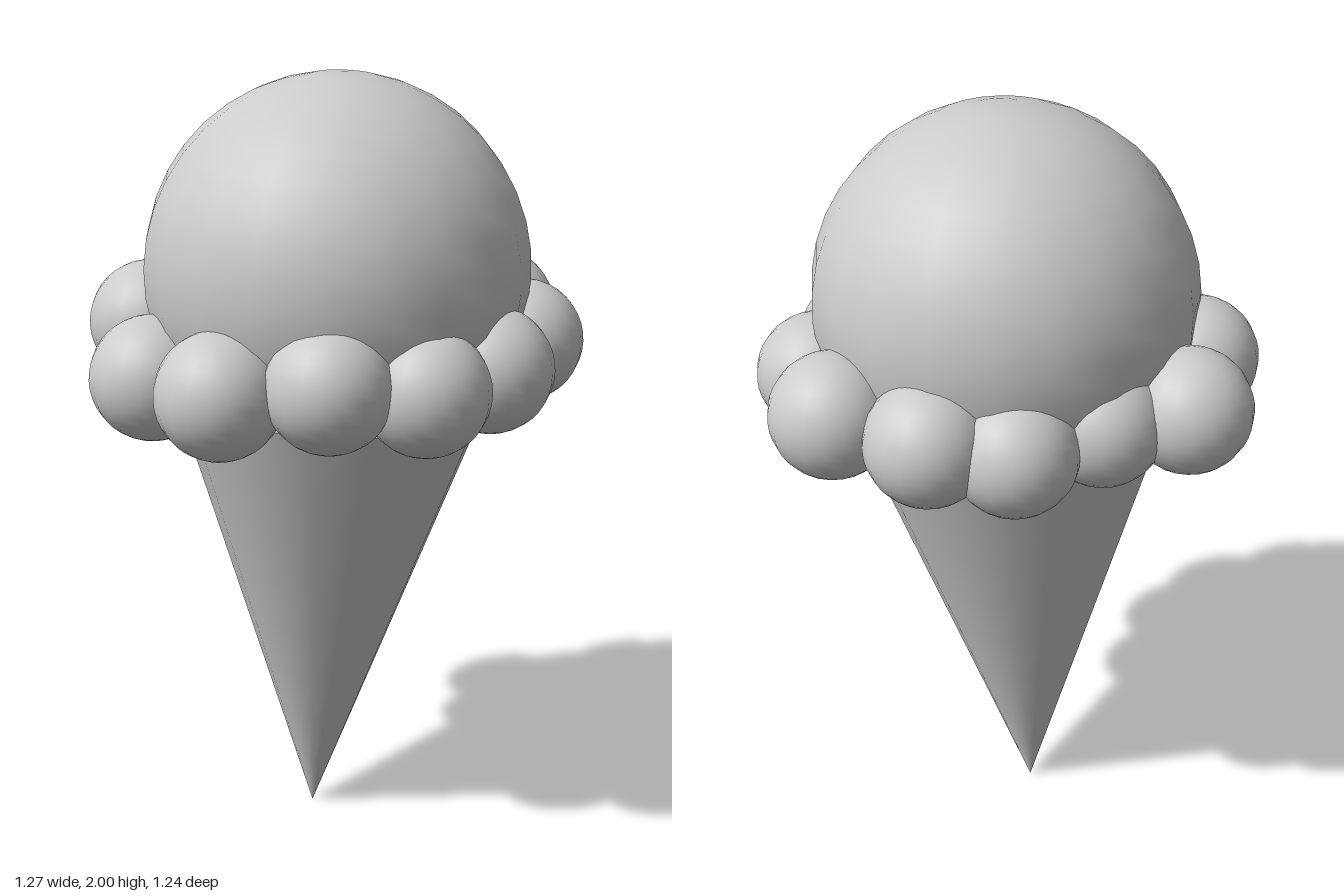
import * as THREE from 'three';

export function createModel() {
  const model = new THREE.Group();
  model.name = 'iceCreamCone';
  const material = new THREE.MeshStandardMaterial({ color: 0xcccccc });

  const add = (parent, name, geometry, x, y, z) => {
    const mesh = new THREE.Mesh(geometry, material);
    mesh.name = name;
    mesh.position.set(x, y, z);
    parent.add(mesh);
    return mesh;
  };

  // Cone and scoop share one axis that leans slightly forward from the tip
  const body = new THREE.Group();
  body.name = 'body';
  body.position.set(-0.023, 0, -0.04);
  body.rotation.x = 0.056;
  model.add(body);

  const coneHeight = 1.21;
  const cone = new THREE.ConeGeometry(0.405, coneHeight, 20, 8);
  cone.rotateX(Math.PI);
  add(body, 'cone', cone, 0, coneHeight / 2, 0);

  add(body, 'scoop', new THREE.SphereGeometry(0.483, 20, 20), 0.003, 1.519, 0);

  // Uneven ring of drips around the base of the scoop: x, y, z of each centre
  const drips = [
    [-0.09, 1.345, -0.47],
    [-0.29, 1.365, -0.35],
    [-0.44, 1.275, -0.185],
    [-0.48, 1.29, 0.09],
    [-0.34, 1.32, 0.31],
    [-0.145, 1.295, 0.44],
    [0.075, 1.31, 0.46],
    [0.315, 1.325, 0.375],
    [0.475, 1.35, 0.17],
    [0.415, 1.34, -0.08],
    [0.29, 1.315, -0.24],
    [0.07, 1.33, -0.33],
  ];
  const dripRing = new THREE.Group();
  dripRing.name = 'dripRing';
  model.add(dripRing);
  const dripGeometry = new THREE.SphereGeometry(0.156, 20, 20);
  for (const [x, y, z] of drips) add(dripRing, 'drip', dripGeometry, x, y, z);

  return model;
}
